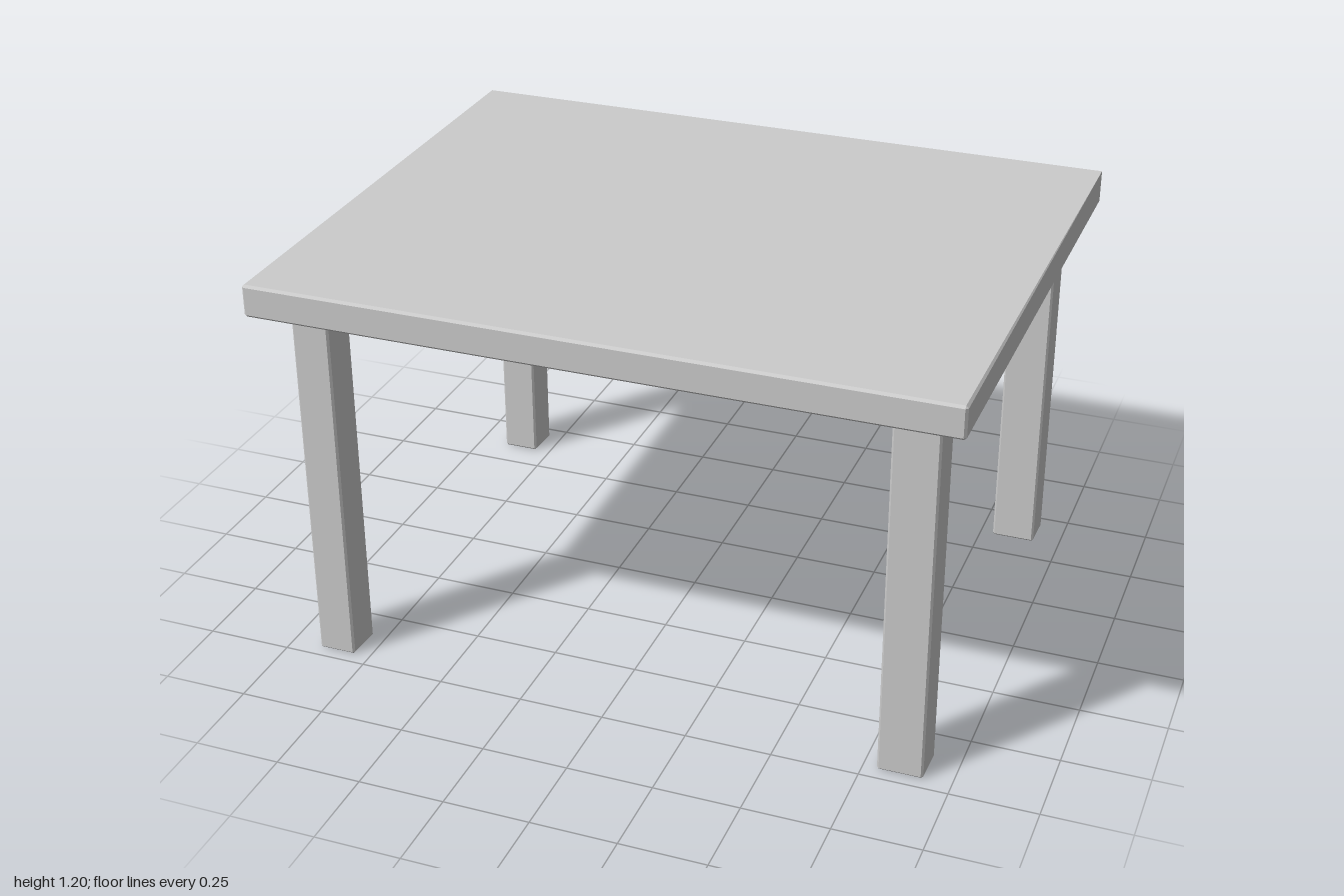
import * as THREE from 'three';
import { ConvexGeometry } from 'three/addons/geometries/ConvexGeometry.js';

const material = new THREE.MeshStandardMaterial({ color: 0xcccccc, flatShading: true });

// Box between two corners whose front (+z) edges are slightly chamfered by c
function chamferedBox(name, [x0, y0, z0], [x1, y1, z1], c) {
  const points = [];
  for (const [x, sx] of [[x0, 1], [x1, -1]]) {
    for (const [y, sy] of [[y0, 1], [y1, -1]]) {
      points.push(new THREE.Vector3(x, y, z0));
      points.push(new THREE.Vector3(x + sx * c, y + sy * c, z1));
      points.push(new THREE.Vector3(x, y + sy * c, z1 - c));
      points.push(new THREE.Vector3(x + sx * c, y, z1 - c));
    }
  }
  const mesh = new THREE.Mesh(new ConvexGeometry(points), material);
  mesh.name = name;
  return mesh;
}

export function createModel() {
  const group = new THREE.Group();
  group.name = 'table';

  // Tabletop slab
  group.add(chamferedBox('tabletop', [-1, 1.1, -0.8], [1, 1.195, 0.8], 0.007));

  // Four square legs; the left pair is a little wider
  for (const [side, x0, x1] of [['Right', -0.908, -0.797], ['Left', 0.79, 0.92]]) {
    for (const [end, z0, z1] of [['front', 0.598, 0.713], ['back', -0.71, -0.597]]) {
      group.add(chamferedBox(`${end}${side}Leg`, [x0, 0, z0], [x1, 1.11, z1], 0.006));
    }
  }
  return group;
}
